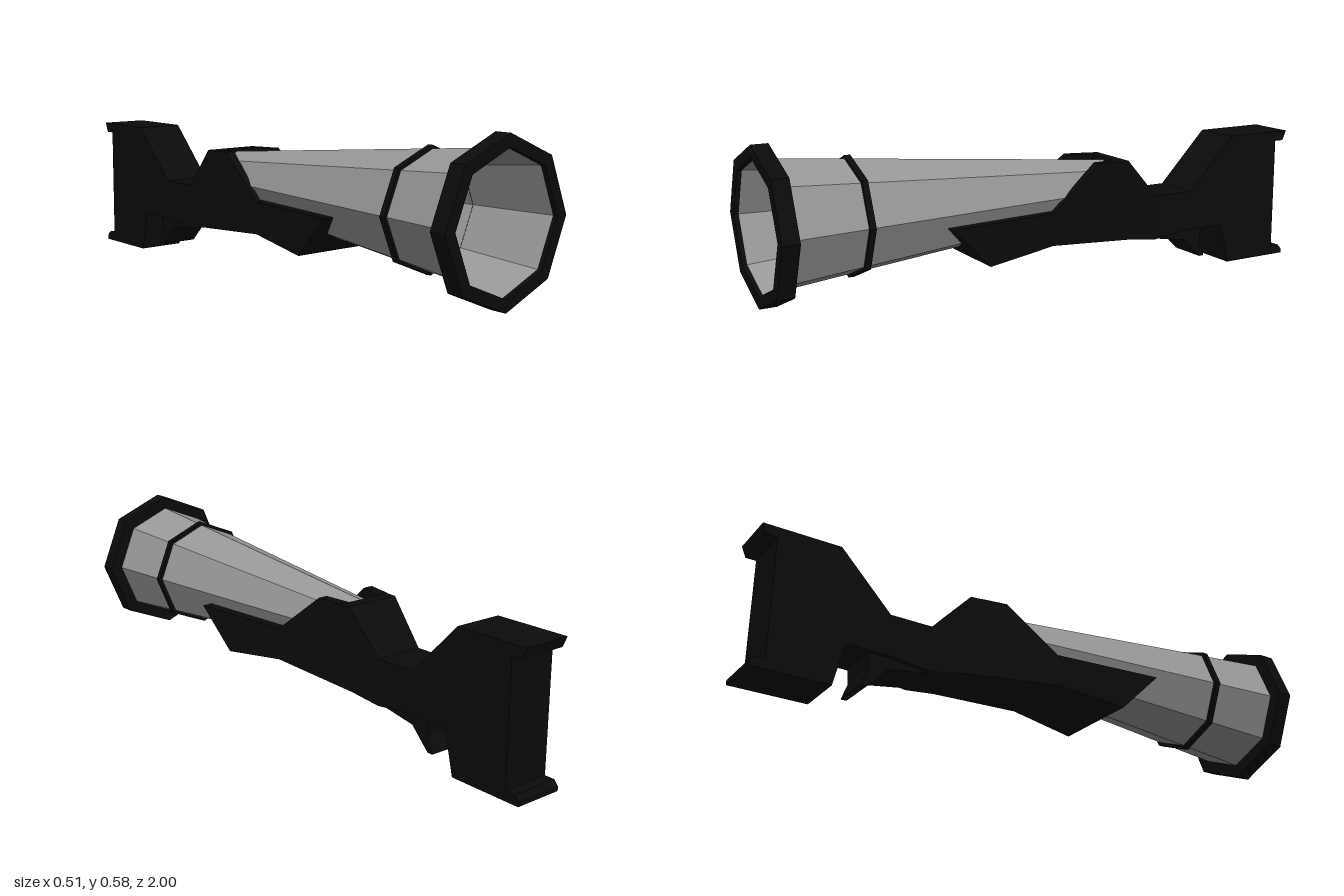
import * as THREE from 'three';

const AXIS_Y = 0.327; // height of the barrel's centre line

export function createModel() {
  const model = new THREE.Group();
  const steel = new THREE.MeshStandardMaterial({ color: 0x989898 });
  const black = new THREE.MeshStandardMaterial({ color: 0x0b0b0b });
  steel.name = 'steelGrey';
  black.name = 'black';

  function add(name, geometry, material) {
    const flat = geometry.index ? geometry.toNonIndexed() : geometry;
    flat.computeVertexNormals(); // crisp low-poly facets
    const mesh = new THREE.Mesh(flat, material);
    mesh.name = name;
    model.add(mesh);
  }

  // Eight-sided turned part along z; profile points are [radius, z]
  function turned(name, profile, material) {
    const g = new THREE.LatheGeometry(profile.map(p => new THREE.Vector2(...p)), 8);
    g.rotateX(Math.PI / 2);
    g.translate(0, AXIS_Y, 0);
    add(name, g, material);
  }

  // Side profile [z, y] stretched across x from lo(z) to hi(z)
  function slab(name, profile, lo, hi) {
    const shape = new THREE.Shape(profile.map(p => new THREE.Vector2(...p)));
    const g = new THREE.ExtrudeGeometry(shape, { depth: 1, bevelEnabled: false });
    g.translate(0, 0, -0.5);
    g.rotateY(-Math.PI / 2);
    const pos = g.attributes.position;
    for (let i = 0; i < pos.count; i++) {
      const z = pos.getZ(i);
      pos.setX(i, THREE.MathUtils.lerp(lo(z), hi(z), pos.getX(i) + 0.5));
    }
    add(name, g, black);
  }
  const centred = (name, profile, w) => slab(name, profile, z => -w(z), w);

  // Flared barrel with a stepped-in bore
  turned('barrel', [[0, -0.25], [0.09, -0.25], [0.209, 0.96], [0.213, 0.99],
    [0.16, 0.55], [0, 0.55]], steel);
  turned('muzzleRim', [[0.205, 0.945], [0.253, 0.945], [0.253, 1], [0.213, 1], [0.212, 0.985]], black);
  turned('barrelBand', [[0.178, 0.69], [0.195, 0.69], [0.195, 0.71], [0.178, 0.71]], black);

  // Cradle under the barrel, widening towards the front
  const flare = z => 0.085 + (z + 0.41) * 0.108;
  centred('cradle', [[0.43, 0.285], [-0.41, 0.285], [-0.41, 0.128], [-0.3, 0.145],
    [0.04, 0.175], [0.29, 0.145]], flare);
  centred('breech', [[-0.41, 0.285], [-0.24, 0.285], [-0.24, 0.426], [-0.28, 0.426]], flare);

  // Cheek plates beside the barrel
  const cheek = [[-0.24, 0.28], [0.045, 0.28], [-0.15, 0.43], [-0.24, 0.427]];
  const inner = z => 0.065 + (z + 0.24) * 0.18;
  slab('leftCheek', cheek, inner, flare);
  slab('rightCheek', cheek, z => -flare(z), z => -inner(z));

  // Rear stock with the raised butt block
  const half = () => 0.085;
  centred('stock', [[-0.41, 0.285], [-0.56, 0.285], [-0.74, 0.47], [-0.95, 0.47],
    [-0.95, 0], [-0.74, 0], [-0.705, 0.145], [-0.55, 0.145], [-0.41, 0.128]], half);
  centred('trigger', [[-0.41, 0.128], [-0.55, 0.105], [-0.62, 0.035], [-0.64, 0.035],
    [-0.62, 0.09], [-0.625, 0.145], [-0.55, 0.15]], () => 0.07);

  // Lips at the top and bottom of the butt
  centred('upperLip', [[-0.95, 0.47], [-1, 0.47], [-0.985, 0.435], [-0.95, 0.435]], half);
  centred('lowerLip', [[-0.95, 0], [-1, 0], [-1, 0.015], [-0.985, 0.032], [-0.95, 0.032]], half);

  return model;
}
